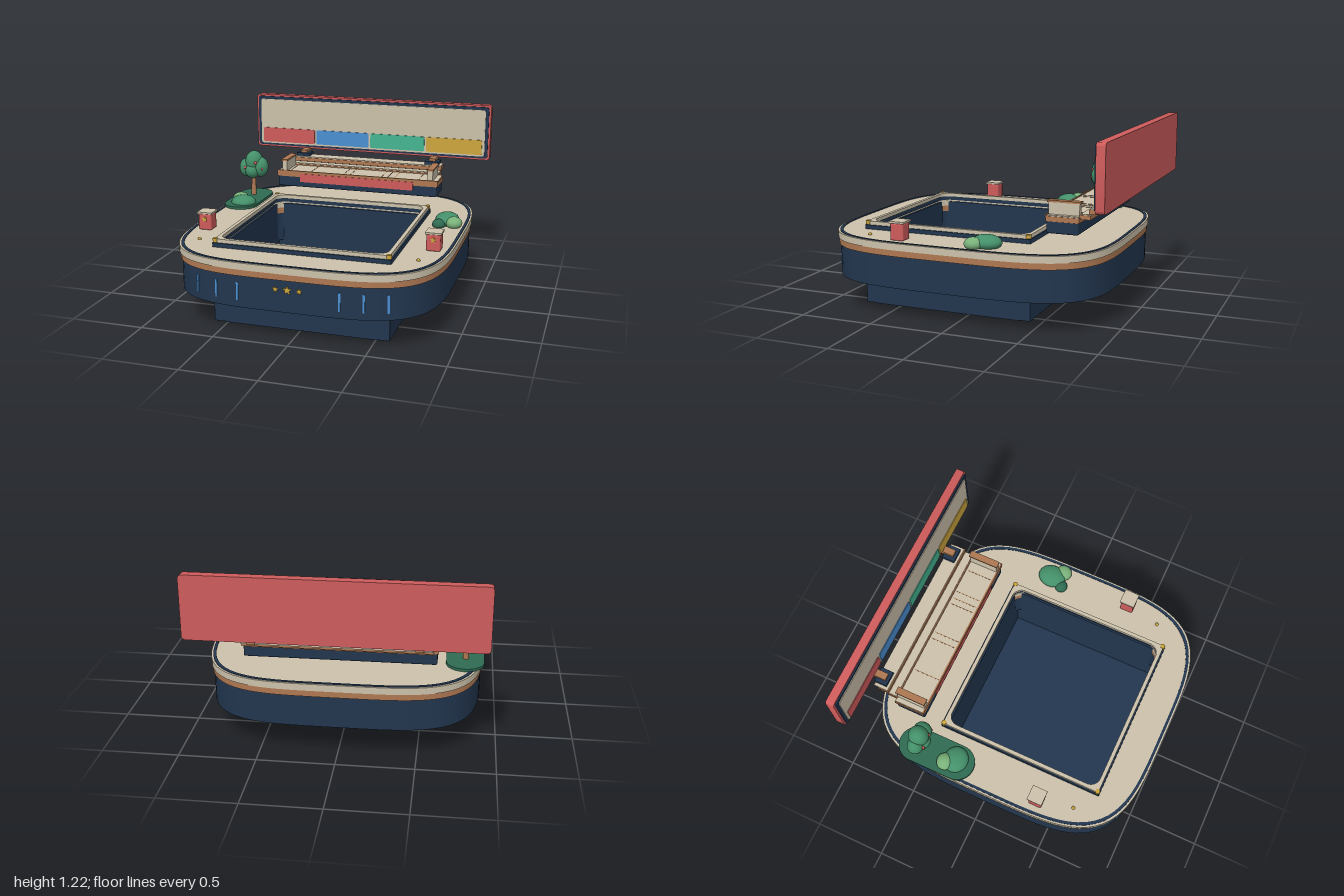
import * as THREE from 'three';
import { toCreasedNormals } from 'three/addons/utils/BufferGeometryUtils.js';
import { RoundedBoxGeometry } from 'three/addons/geometries/RoundedBoxGeometry.js';

const material = (name, color) => Object.assign(new THREE.MeshStandardMaterial({ color }), { name });

export function createModel() {
  const navy = material('navy', 0x22364f), copper = material('copper', 0xae7852);
  const beige = material('beige', 0xccc2ab), red = material('red', 0xcf5c5c);
  const blue = material('blue', 0x4a8fd2), teal = material('teal', 0x45b592);
  const gold = material('gold', 0xcca63e), darkGreen = material('dark green', 0x2f6b52);
  const green = material('green', 0x44906a), lightGreen = material('light green', 0x7ab27a);

  const model = new THREE.Group();
  model.name = 'poolDeckArena';
  const group = (name) => {
    const g = new THREE.Group();
    g.name = name;
    model.add(g);
    return g;
  };
  const add = (parent, name, geometry, mat, x = 0, y = 0, z = 0) => {
    const mesh = new THREE.Mesh(geometry, mat);
    mesh.name = name;
    mesh.position.set(x, y, z);
    parent.add(mesh);
    return mesh;
  };
  // Box given by its limits
  const box = (parent, name, mat, x0, x1, y0, y1, z0, z1) =>
    add(parent, name, new THREE.BoxGeometry(x1 - x0, y1 - y0, z1 - z0), mat, (x0 + x1) / 2, (y0 + y1) / 2, (z0 + z1) / 2);

  const extrude = (shape, depth) => toCreasedNormals(
    new THREE.ExtrudeGeometry(shape, { depth, bevelEnabled: false, curveSegments: 8 }), 0.6);
  // Horizontal slab: shape coordinates are x and -z
  const slab = (parent, name, mat, shape, y0, y1) =>
    add(parent, name, extrude(shape, y1 - y0).rotateX(-Math.PI / 2), mat, 0, y0, 0);

  const roundedRect = (cx, cy, hw, hh, r, Type = THREE.Shape) => {
    const s = new Type(), x0 = cx - hw, x1 = cx + hw, y0 = cy - hh, y1 = cy + hh;
    s.moveTo(x0 + r, y0);
    s.lineTo(x1 - r, y0);
    s.absarc(x1 - r, y0 + r, r, -Math.PI / 2, 0);
    s.absarc(x1 - r, y1 - r, r, 0, Math.PI / 2);
    s.absarc(x0 + r, y1 - r, r, Math.PI / 2, Math.PI);
    s.absarc(x0 + r, y0 + r, r, Math.PI, Math.PI * 1.5);
    return s;
  };

  // Squared oval outline of the deck
  const deckZ = 0.035;
  const ovalPoints = (inset) => Array.from({ length: 128 }, (_, i) => {
    const a = (i / 128) * Math.PI * 2, c = Math.cos(a), s = Math.sin(a);
    const r = ((c / (0.905 - inset)) ** 4 + (s / (0.965 - inset)) ** 4) ** -0.25;
    return new THREE.Vector2(c * r, s * r - deckZ);
  });
  const poolZ = 0.165;
  const deckShape = (inset) => {
    const shape = new THREE.Shape(ovalPoints(inset));
    shape.holes.push(roundedRect(0, -poolZ, 0.57, 0.57, 0.11, THREE.Path));
    return shape;
  };

  // Layered deck
  const deck = group('deck');
  slab(deck, 'hull', navy, deckShape(0.015), 0.215, 0.425);
  slab(deck, 'copperBand', copper, deckShape(0.006), 0.425, 0.467);
  slab(deck, 'deckTop', beige, deckShape(0), 0.467, 0.512);
  const ring = new THREE.Shape(ovalPoints(0.012));
  ring.holes.push(new THREE.Path(ovalPoints(0.03)));
  slab(deck, 'edgeInlay', navy, ring, 0.512, 0.516);

  // Sunken basin with straight walls and a floor
  const basin = group('basin');
  for (const s of [-1, 1]) {
    box(basin, 'sideWall', navy, s * 0.572 - 0.018, s * 0.572 + 0.018, 0.005, 0.5, poolZ - 0.59, poolZ + 0.59);
    const z = poolZ + s * 0.572;
    box(basin, 'endWall', navy, -0.555, 0.555, 0.005, 0.5, z - 0.018, z + 0.018);
  }
  slab(basin, 'floor', navy, roundedRect(0, -poolZ, 0.585, 0.585, 0.09), 0, 0.02);

  // Raised rim around the basin with gold corner studs
  const rim = group('basinRim');
  const frame = (name, mat, outer, r, inner, ri, y0, y1) => {
    const s = roundedRect(0, -poolZ, outer, outer, r);
    s.holes.push(roundedRect(0, -poolZ, inner, inner, ri, THREE.Path));
    slab(rim, name, mat, s, y0, y1);
  };
  frame('rimBase', navy, 0.592, 0.005, 0.562, 0.07, 0.512, 0.54);
  frame('rimTop', beige, 0.582, 0.02, 0.556, 0.07, 0.54, 0.565);
  for (const x of [-0.575, 0.575]) for (const s of [-1, 1])
    add(rim, 'cornerStud', new THREE.CylinderGeometry(0.017, 0.017, 0.025, 12), gold, x, 0.556, poolZ + s * 0.575);

  // Stars and light strips on the hull front
  const star = (parent, r, x, y, z) => {
    const pts = Array.from({ length: 10 }, (_, i) => {
      const a = Math.PI / 2 + (i * Math.PI) / 5, q = i % 2 ? r * 0.45 : r;
      return new THREE.Vector2(Math.cos(a) * q, Math.sin(a) * q);
    });
    add(parent, 'star', extrude(new THREE.Shape(pts), 0.008), gold, x, y, z);
  };
  const trim = group('hullTrim');
  for (const [x, r] of [[-0.077, 0.022], [0, 0.031], [0.077, 0.022]]) star(trim, r, x, 0.363, 0.985);
  for (const x of [0.33, 0.477, 0.62]) for (const s of [-1, 1]) {
    const u = x / 0.89, z = 0.95 * (1 - u ** 4) ** 0.25;
    const strip = box(trim, 'lightStrip', blue, s * x - 0.007, s * x + 0.007, 0.262, 0.38, z + deckZ - 0.008, z + deckZ + 0.006);
    strip.rotation.y = s * Math.atan2(u ** 3 / 0.89, (z / 0.95) ** 3 / 0.95);
  }

  // Grandstand: tray, end walls and rear steps
  const stand = group('grandstand');
  add(stand, 'standBase', new RoundedBoxGeometry(1.22, 0.085, 0.21, 2, 0.012), navy, 0, 0.637, -0.64);
  box(stand, 'standBand', copper, -0.617, 0.617, 0.672, 0.705, -0.75, -0.533);
  box(stand, 'standFrontPanel', red, -0.435, 0.435, 0.635, 0.698, -0.536, -0.529);
  box(stand, 'trayFloor', beige, -0.612, 0.612, 0.705, 0.712, -0.745, -0.54);
  for (const x of [-0.52, -0.355, -0.1, -0.05, 0.19, 0.235, 0.29, 0.47])
    box(stand, 'floorSeam', copper, x - 0.002, x + 0.002, 0.711, 0.714, -0.73, -0.55);
  box(stand, 'frontLip', copper, -0.617, 0.617, 0.7, 0.718, -0.542, -0.531);
  for (const x of [-0.56, 0.56]) {
    box(stand, 'endWall', beige, x - 0.019, x + 0.019, 0.712, 0.788, -0.742, -0.54);
    box(stand, 'endWallCap', copper, x - 0.024, x + 0.024, 0.788, 0.8, -0.75, -0.533);
  }
  for (const [y, z0, z1] of [[0.728, -0.815, -0.742], [0.765, -0.885, -0.805]]) {
    box(stand, 'step', copper, -0.59, 0.59, y - 0.034, y - 0.006, z0, z1);
    box(stand, 'stepTread', beige, -0.585, 0.585, y - 0.006, y, z0, z1 - 0.008);
  }
  box(stand, 'topTread', beige, -0.585, 0.585, 0.755, 0.765, -0.915, -0.885);

  // Brackets carrying the board
  for (const x of [-0.51, 0.51]) {
    box(stand, 'bracketFoot', navy, x - 0.053, x + 0.053, 0.766, 0.789, -0.92, -0.83);
    box(stand, 'bracketArm', copper, x - 0.025, x + 0.025, 0.78, 0.808, -0.975, -0.85);
  }

  // Display board
  const board = group('displayBoard');
  const plate = (name, mat, x, y, hw, hh, r, z0, z1) =>
    add(board, name, extrude(roundedRect(x, y, hw, hh, r), z1 - z0), mat, 0, 0, z0);
  plate('boardBack', red, 0, 1.01, 0.927, 0.208, 0.025, -1, -0.942);
  plate('boardFrame', navy, 0, 1.01, 0.912, 0.194, 0.02, -0.942, -0.932);
  plate('boardFace', beige, 0, 1.007, 0.889, 0.176, 0.018, -0.932, -0.926);
  [red, blue, teal, gold].forEach((m, i) =>
    plate('colourPanel', m, -0.657 + i * 0.438, 0.9, 0.212, 0.056, 0.012, -0.926, -0.92));

  // Small red kiosks and deck studs
  for (const x of [-0.785, 0.785]) {
    const kiosk = group('kiosk');
    add(kiosk, 'kioskBody', new RoundedBoxGeometry(0.093, 0.112, 0.093, 2, 0.01), red, x, 0.568, 0.39);
    box(kiosk, 'kioskRoof', beige, x - 0.053, x + 0.053, 0.624, 0.637, 0.337, 0.443);
    star(kiosk, 0.023, x, 0.588, 0.434);
    add(deck, 'deckStud', new THREE.SphereGeometry(0.012, 12, 8), gold, Math.sign(x) * 0.735, 0.515, 0.635);
  }

  // Planting: ellipsoids as [material, x, y, z, rx, ry, rz]
  const blobs = (parent, name, list) => list.forEach(([m, x, y, z, rx, ry, rz]) =>
    add(parent, name, new THREE.SphereGeometry(1, 24, 16), m, x, y, z).scale.set(rx, ry, rz));
  const garden = group('garden');
  slab(garden, 'grassBed', darkGreen, roundedRect(-0.783, 0.365, 0.122, 0.275, 0.12), 0.512, 0.53);
  add(garden, 'treeTrunk', new THREE.CylinderGeometry(0.014, 0.02, 0.18, 12), copper, -0.785, 0.61, -0.47);
  blobs(garden, 'treeCrown', [
    [green, -0.78, 0.785, -0.475, 0.066, 0.082, 0.07],
    [green, -0.84, 0.735, -0.475, 0.056, 0.07, 0.055],
    [green, -0.727, 0.745, -0.475, 0.056, 0.075, 0.062],
    [green, -0.785, 0.72, -0.465, 0.062, 0.062, 0.07],
  ]);
  blobs(garden, 'fruit', [
    [red, -0.748, 0.787, -0.416, 0.011, 0.011, 0.011],
    [red, -0.832, 0.745, -0.42, 0.011, 0.011, 0.011],
    [red, -0.7, 0.74, -0.425, 0.009, 0.009, 0.009],
  ]);
  blobs(garden, 'leftBush', [
    [green, -0.77, 0.535, -0.225, 0.092, 0.05, 0.085],
    [lightGreen, -0.815, 0.545, -0.285, 0.06, 0.044, 0.058],
  ]);
  blobs(garden, 'rightBush', [
    [green, 0.757, 0.54, -0.2, 0.083, 0.05, 0.1],
    [lightGreen, 0.815, 0.538, -0.135, 0.057, 0.042, 0.06],
    [darkGreen, 0.715, 0.528, -0.11, 0.046, 0.036, 0.045],
  ]);
  return model;
}
